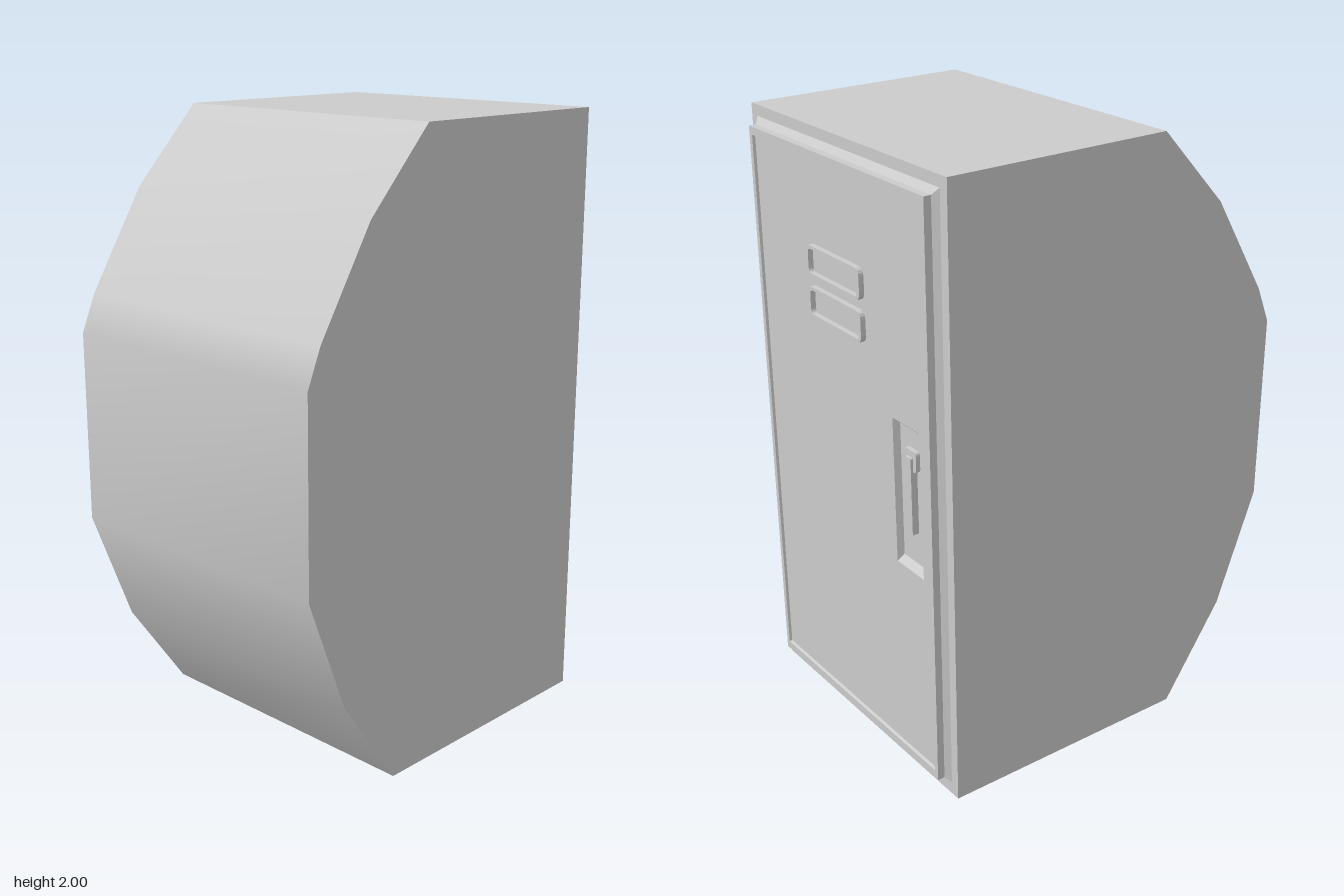
import * as THREE from 'three';

const mat = new THREE.MeshStandardMaterial({ color: 0xcccccc, side: THREE.DoubleSide });
const HALF = 0.51; // half width of the locker along z
const FRONT = 0.595; // x of the face that carries the door

function mesh(name, geometry) {
  const m = new THREE.Mesh(geometry, mat);
  m.name = name;
  return m;
}

// Side outline (x, y), from the front bottom corner over the top to the back bottom corner
const outline = [
  [FRONT, 0.02], [FRONT, 2], [-0.165, 2], [-0.4, 1.75], [-0.595, 1.43],
  [-0.645, 1.31], [-0.645, 0.69], [-0.5, 0.31], [-0.285, 0.003],
];

// Wall swept across the width along part of the outline; joints inside it are smooth
function sweep(points) {
  const pos = [], index = [];
  points.forEach(([x, y], i) => {
    pos.push(x, y, HALF, x, y, -HALF);
    if (i) {
      const a = 2 * i - 2;
      index.push(a, a + 1, a + 3, a, a + 3, a + 2);
    }
  });
  const g = new THREE.BufferGeometry();
  g.setAttribute('position', new THREE.Float32BufferAttribute(pos, 3));
  g.setIndex(index);
  g.computeVertexNormals();
  return g;
}

// Door parts are drawn in the front plane (u right, v up, w out) and turned to face +x
const toFront = (g) => g.rotateY(Math.PI / 2);

// Stepped rectangular moulding through rings of [u0, u1, v0, v1, w]
function moulding(rings) {
  const pos = [], index = [];
  rings.forEach(([u0, u1, v0, v1, w], k) => {
    pos.push(u0, v0, w, u1, v0, w, u1, v1, w, u0, v1, w);
    if (!k) return;
    for (let i = 0; i < 4; i++) {
      const j = (i + 1) % 4, a = 4 * k - 4, b = 4 * k;
      index.push(a + i, a + j, b + j, a + i, b + j, b + i);
    }
  });
  const g = new THREE.BufferGeometry();
  g.setAttribute('position', new THREE.Float32BufferAttribute(pos, 3));
  g.setIndex(index);
  const flat = g.toNonIndexed();
  flat.computeVertexNormals();
  return toFront(flat);
}

// Rounded rectangle centred on (u, v)
function rounded(target, u, v, w, h, r) {
  const a = u - w / 2, b = u + w / 2, c = v - h / 2, d = v + h / 2;
  target.moveTo(a + r, c).lineTo(b - r, c).quadraticCurveTo(b, c, b, c + r);
  target.lineTo(b, d - r).quadraticCurveTo(b, d, b - r, d);
  target.lineTo(a + r, d).quadraticCurveTo(a, d, a, d - r);
  target.lineTo(a, c + r).quadraticCurveTo(a, c, a + r, c);
  return target;
}

function rect(target, u0, u1, v0, v1) {
  return target.moveTo(u0, v0).lineTo(u1, v0).lineTo(u1, v1).lineTo(u0, v1).lineTo(u0, v0);
}

const extrude = (shape, w0, w1) => toFront(new THREE.ExtrudeGeometry(shape,
  { depth: w1 - w0, bevelEnabled: false, curveSegments: 4 }).translate(0, 0, w0));

function buildBody() {
  const body = new THREE.Group();
  body.name = 'body';
  // The shell is open underneath
  body.add(mesh('frontWall', sweep(outline.slice(0, 2))));
  body.add(mesh('topWall', sweep(outline.slice(1, 3))));
  body.add(mesh('curvedBack', sweep(outline.slice(2))));
  const side = new THREE.Shape(outline.map(([x, y]) => new THREE.Vector2(x, y)));
  body.add(mesh('leftWall', new THREE.ShapeGeometry(side).translate(0, 0, HALF)));
  const other = new THREE.Shape(outline.map(([x, y]) => new THREE.Vector2(-x, y)));
  body.add(mesh('rightWall', new THREE.ShapeGeometry(other).rotateY(Math.PI).translate(0, 0, -HALF)));
  return body;
}

function buildDoor() {
  const door = new THREE.Group();
  door.name = 'door';
  const panelX = 0.626, pocketX = 0.604;

  // Bevelled foot, raised edge and step down to the panel
  door.add(mesh('doorFrame', moulding([
    [-0.478, 0.478, 0.063, 1.965, FRONT],
    [-0.461, 0.461, 0.08, 1.945, 0.611],
    [-0.461, 0.461, 0.08, 1.945, 0.635],
    [-0.445, 0.445, 0.108, 1.92, 0.635],
    [-0.443, 0.443, 0.111, 1.917, panelX],
  ])));

  // Panel with an opening for the latch
  const panel = rect(new THREE.Shape(), -0.443, 0.443, 0.111, 1.917);
  panel.holes.push(rect(new THREE.Path(), 0.262, 0.4, 0.768, 1.242));
  door.add(mesh('doorPanel', toFront(new THREE.ShapeGeometry(panel).translate(0, 0, panelX))));

  // Latch pocket with sloped top and bottom
  door.add(mesh('latchPocket', moulding([
    [0.262, 0.4, 0.768, 1.242, panelX],
    [0.268, 0.394, 0.787, 1.222, pocketX],
  ])));
  const floor = rect(new THREE.Shape(), 0.268, 0.394, 0.787, 1.222);
  door.add(mesh('pocketFloor', toFront(new THREE.ShapeGeometry(floor).translate(0, 0, pocketX))));

  // Latch: mounting block and hanging bar
  door.add(mesh('latchBlock', extrude(rounded(new THREE.Shape(), 0.335, 1.132, 0.06, 0.066, 0.012), pocketX, 0.618)));
  door.add(mesh('latchBar', extrude(rounded(new THREE.Shape(), 0.335, 1.018, 0.028, 0.252, 0.004), pocketX, 0.626)));

  // Two raised vent rims
  for (const v of [1.61, 1.48]) {
    const rim = rounded(new THREE.Shape(), -0.005, v, 0.288, 0.098, 0.025);
    rim.holes.push(rounded(new THREE.Path(), -0.005, v, 0.264, 0.076, 0.016));
    door.add(mesh('ventRim', extrude(rim, panelX, 0.643)));
  }
  return door;
}

export function createModel() {
  const locker = new THREE.Group();
  locker.name = 'locker';
  locker.add(buildBody(), buildDoor());
  return locker;
}
